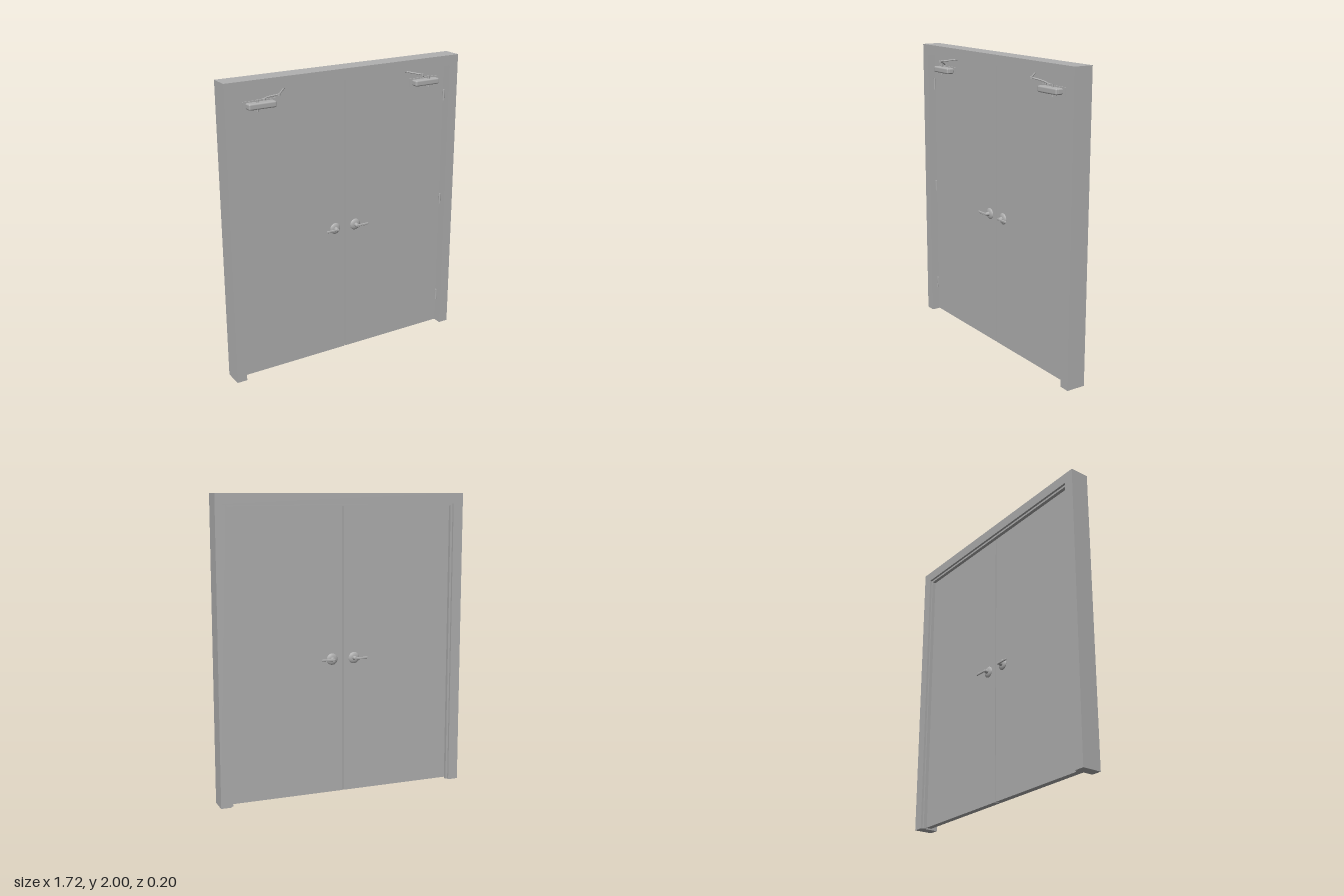
import * as THREE from 'three';
import { RoundedBoxGeometry } from 'three/addons/geometries/RoundedBoxGeometry.js';

const paint = new THREE.MeshStandardMaterial({ color: 0xb0b0b0 });
paint.name = 'greyPaint';

function add(parent, name, geometry, x = 0, y = 0, z = 0) {
  const mesh = new THREE.Mesh(geometry, paint);
  mesh.name = name;
  mesh.position.set(x, y, z);
  parent.add(mesh);
  return mesh;
}

// Box given by its lower and upper corners
function box(parent, name, [x0, y0, z0], [x1, y1, z1]) {
  return add(parent, name, new THREE.BoxGeometry(x1 - x0, y1 - y0, z1 - z0),
    (x0 + x1) / 2, (y0 + y1) / 2, (z0 + z1) / 2);
}

// Straight round bar between two points
function bar(parent, name, a, b, radius) {
  const p = new THREE.Vector3(...a), q = new THREE.Vector3(...b);
  return add(parent, name, new THREE.TubeGeometry(new THREE.LineCurve3(p, q), 1, radius, 8));
}

const OUT = 0.86, IN = 0.79, HEAD = 1.93;      // frame outline
const BACK = -0.10, FRONT = 0.03;              // frame depth
const LEAF_BACK = -0.06, LEAF_FRONT = -0.02;   // leaf thickness

// Lever handle projecting along +z, lever pointing along +x
function leverHandle() {
  const g = new THREE.Group();
  g.name = 'leverHandle';
  const rose = [[0, 0.014], [0.018, 0.013], [0.031, 0.009], [0.038, 0.003], [0.038, 0]]
    .reverse().map(([r, h]) => new THREE.Vector2(r, h));
  add(g, 'rose', new THREE.LatheGeometry(rose, 32)).rotation.x = Math.PI / 2;
  const spindle = add(g, 'spindle', new THREE.CylinderGeometry(0.011, 0.015, 0.03, 20), 0, 0, 0.022);
  spindle.rotation.x = Math.PI / 2;
  add(g, 'lever', new RoundedBoxGeometry(0.096, 0.015, 0.01, 2, 0.004), 0.036, 0, 0.036);
  return g;
}

// Surface closer with its folding arm, for the leaf on the +x side
function doorCloser() {
  const g = new THREE.Group();
  g.name = 'doorCloser';
  box(g, 'closerPlate', [0.50, 1.812, LEAF_FRONT], [0.722, 1.864, LEAF_FRONT + 0.007]);
  add(g, 'closerBody', new RoundedBoxGeometry(0.186, 0.04, 0.054, 3, 0.01), 0.61, 1.838, 0.012);
  for (const x of [0.522, 0.698])
    add(g, 'closerEndCap', new RoundedBoxGeometry(0.012, 0.03, 0.04, 2, 0.004), x, 1.838, 0.006);
  add(g, 'closerPinion', new THREE.CylinderGeometry(0.007, 0.007, 0.076, 16), 0.635, 1.838, 0.012);
  add(g, 'armHub', new THREE.CylinderGeometry(0.011, 0.011, 0.01, 16), 0.59, 1.871, 0.012);
  box(g, 'armHubLink', [0.59, 1.868, 0.007], [0.635, 1.875, 0.017]);
  // main arm rises from the hub to the elbow
  const rise = new THREE.QuadraticBezierCurve3(
    new THREE.Vector3(0.59, 1.874, 0.012),
    new THREE.Vector3(0.575, 1.892, 0.03),
    new THREE.Vector3(0.528, 1.908, 0.09));
  add(g, 'mainArm', new THREE.TubeGeometry(rise, 12, 0.005, 8));
  add(g, 'armElbow', new THREE.CylinderGeometry(0.008, 0.008, 0.014, 16), 0.528, 1.909, 0.09);
  bar(g, 'forearm', [0.528, 1.909, 0.09], [0.445, 1.923, 0.0], 0.005);
  box(g, 'armShoe', [0.425, 1.922, -0.014], [0.465, HEAD, 0.014]);
  return g;
}

// Everything on one side of the centre line; side is +1 or -1
function halfDoor(side) {
  const g = new THREE.Group();
  g.name = side > 0 ? 'leftHalf' : 'rightHalf';
  const span = (a, b) => (side > 0 ? [a, b] : [-b, -a]);
  const block = (name, a, b, y0, y1, z0, z1) => {
    const [x0, x1] = span(a, b);
    box(g, name, [x0, y0, z0], [x1, y1, z1]);
  };
  block('jamb', IN, OUT, 0, HEAD, BACK, FRONT);
  block('jambStop', IN - 0.014, IN, 0, HEAD, -0.085, LEAF_BACK - 0.001);
  block('doorLeaf', 0.004, IN - 0.005, 0.008, HEAD - 0.006, LEAF_BACK, LEAF_FRONT);

  // hinge leaves and knuckles
  for (const y of [0.215, 0.97, 1.72]) {
    block('hingePlate', IN - 0.012, IN, y - 0.038, y + 0.038, LEAF_FRONT - 0.004, LEAF_FRONT + 0.002);
    add(g, 'hingeKnuckle', new THREE.CylinderGeometry(0.006, 0.006, 0.078, 12),
      side * (IN - 0.005), y, LEAF_FRONT + 0.005);
  }

  // lever handles on both faces, pointing away from the centre
  for (const face of [1, -1]) {
    const handle = leverHandle();
    handle.position.set(side * 0.078, 0.917, face > 0 ? LEAF_FRONT : LEAF_BACK);
    handle.scale.set(side, 1, face);
    g.add(handle);
  }

  const closer = doorCloser();
  closer.scale.x = side;
  g.add(closer);
  return g;
}

export function createModel() {
  const model = new THREE.Group();
  model.name = 'doubleDoor';
  box(model, 'frameHead', [-OUT, HEAD, BACK], [OUT, 2, FRONT]);
  box(model, 'headStop', [-IN, HEAD - 0.014, -0.085], [IN, HEAD, LEAF_BACK - 0.001]);
  model.add(halfDoor(1), halfDoor(-1));
  return model;
}
